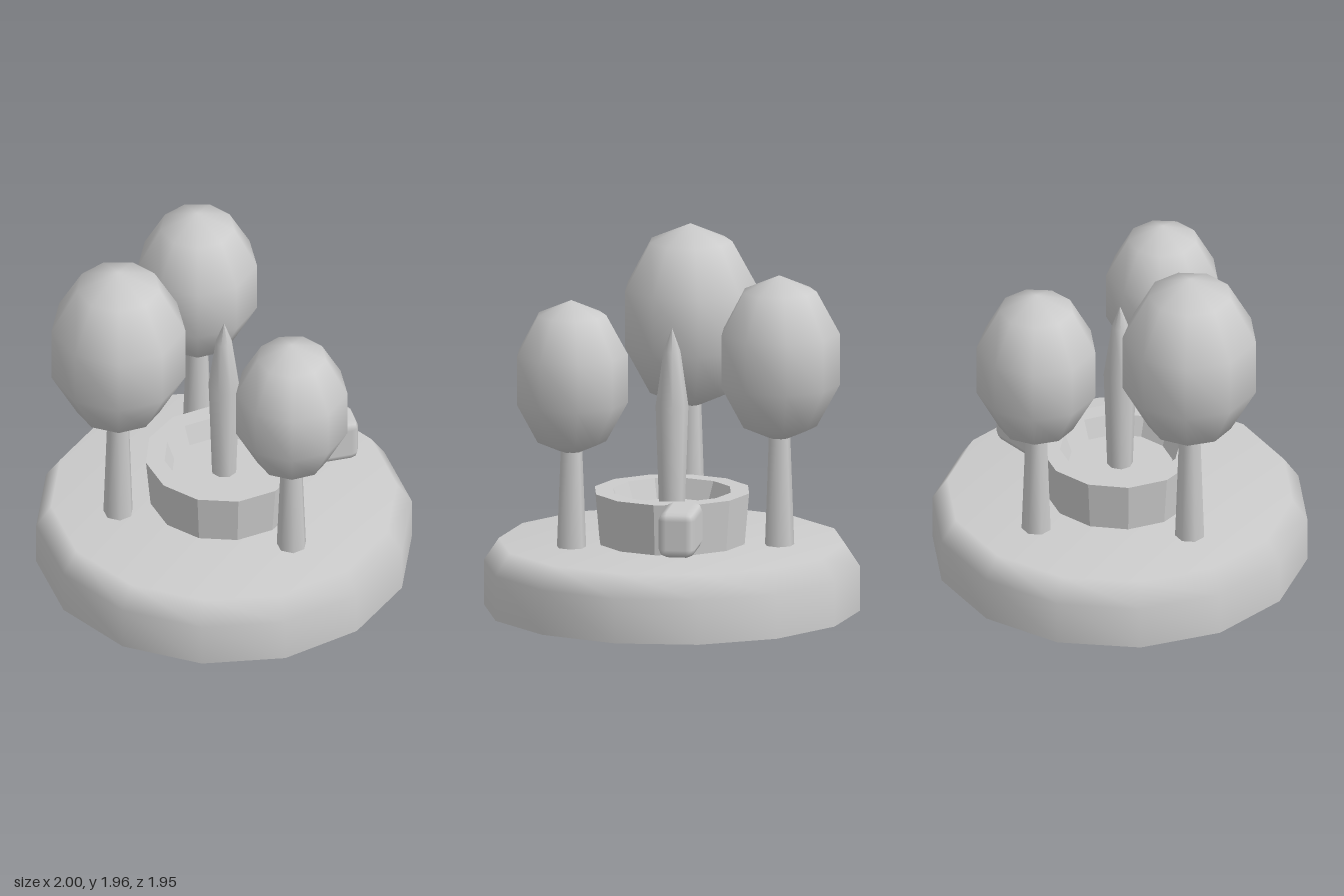
import * as THREE from 'three';
import { RoundedBoxGeometry } from 'three/addons/geometries/RoundedBoxGeometry.js';

export function createModel() {
  const model = new THREE.Group();
  model.name = 'parkIsland';
  const stone = new THREE.MeshStandardMaterial({ color: 0xcccccc });
  stone.name = 'paleGrey';

  const add = (name, geometry, parent = model) => {
    const mesh = new THREE.Mesh(geometry, stone);
    mesh.name = name;
    parent.add(mesh);
    return mesh;
  };
  // Profile listed from the bottom outside to the top centre
  const lathe = (profile, sides, start = 0) =>
    new THREE.LatheGeometry(profile.map(([r, y]) => new THREE.Vector2(r, y)), sides, start);
  const faceted = (geometry) => {
    const flat = geometry.toNonIndexed();
    flat.computeVertexNormals();
    return flat;
  };

  // Ground slab with a bevelled rim, soft shaded, and a flat underside
  add('groundSlab', lathe([[1, 0], [1, 0.24], [0.92, 0.36], [0, 0.36]], 14, Math.PI / 2));
  add('groundUnderside', new THREE.CircleGeometry(1, 14).rotateX(Math.PI / 2));

  // Flared fountain basin with a shallow floor
  add('fountainBasin', faceted(lathe(
    [[0.395, 0.355], [0.42, 0.635], [0.32, 0.635], [0.28, 0.53], [0, 0.53]], 12)));

  // Pointed jet in the middle of the basin
  add('fountainJet', lathe([[0.068, 0.52], [0.087, 1.09], [0.045, 1.385], [0, 1.51]], 8));

  // Trees: position, crown centre height, crown radius and half height
  const trees = [
    { x: -0.48, z: 0.32, y: 1.46, r: 0.379, h: 0.5 },
    { x: -0.32, z: -0.48, y: 1.365, r: 0.337, h: 0.45 },
    { x: 0.48, z: 0.28, y: 1.273, r: 0.316, h: 0.42 },
  ];
  for (const { x, z, y, r, h } of trees) {
    const tree = new THREE.Group();
    tree.name = 'tree';
    tree.position.set(x, 0, z);
    model.add(tree);

    const top = y - h + 0.1;
    const trunk = new THREE.CylinderGeometry(0.056, 0.08, top - 0.35, 7, 1, true, Math.PI);
    add('trunk', trunk.translate(0, (top + 0.35) / 2, 0), tree);

    const crown = new THREE.SphereGeometry(1, 9, 5, Math.PI * 1.5);
    add('crown', crown.scale(r, h, r).translate(0, y, 0), tree);
  }

  // Rounded bench block beside the basin
  const bench = add('bench', new RoundedBoxGeometry(0.355, 0.245, 0.195, 1, 0.045));
  bench.position.set(0.4, 0.54, -0.44);
  bench.rotation.y = 0.61;

  return model;
}
